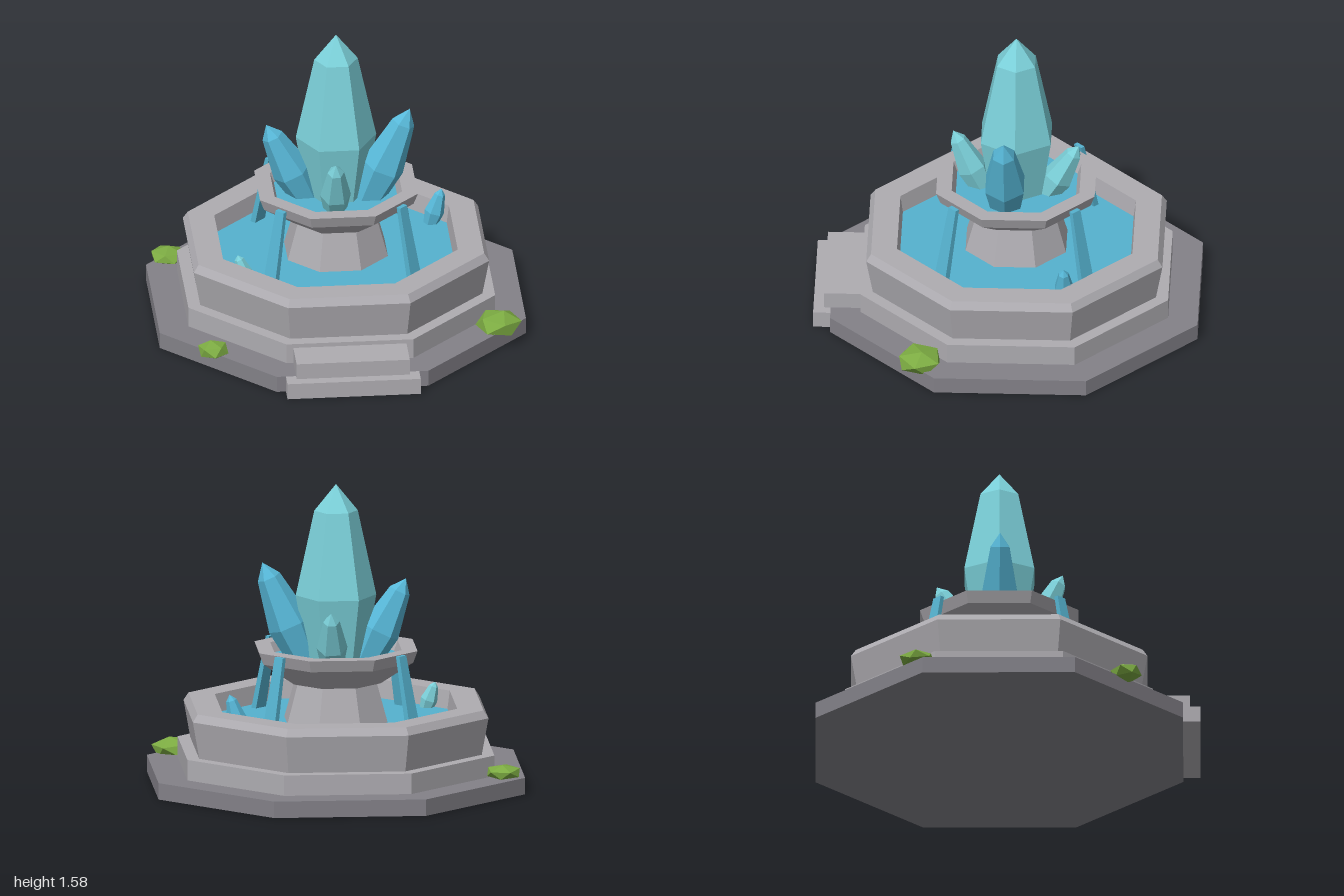
import * as THREE from 'three';

const CZ = -0.045; // centre line of the octagonal tiers

function material(name, color) {
  const m = new THREE.MeshStandardMaterial({ color });
  m.name = name;
  return m;
}

// Give every face its own flat normal
function faceted(geometry) {
  const g = geometry.index ? geometry.toNonIndexed() : geometry;
  g.computeVertexNormals();
  return g;
}

// Regular prism-like solid from [radius, y] pairs
function turned(profile, sides, phi) {
  const points = profile.map(([r, y]) => new THREE.Vector2(r, y));
  return faceted(new THREE.LatheGeometry(points, sides, phi));
}

// Octagonal tier; profile widths are measured to the flat sides
function octagon(profile) {
  const k = 1 / Math.cos(Math.PI / 8);
  return turned(profile.map(([w, y]) => [w * k, y]), 8, Math.PI / 8);
}

export function createModel() {
  const model = new THREE.Group();
  model.name = 'crystalFountain';

  const stone = material('light stone', 0xaeacb1);
  const darkStone = material('dark stone', 0x838188);
  const water = material('water blue', 0x55b2cf);
  const blue = material('blue crystal', 0x57b8d8);
  const aqua = material('aqua crystal', 0x7bd0d9);
  const moss = material('moss green', 0x7cab42);

  function add(name, geometry, mat, x = 0, y = 0, z = 0) {
    const mesh = new THREE.Mesh(geometry, mat);
    mesh.name = name;
    mesh.position.set(x, y, z);
    model.add(mesh);
    return mesh;
  }
  const tier = (name, profile, mat) => add(name, octagon(profile), mat, 0, 0, CZ);

  // Stepped base
  tier('basePlate', [[0, 0], [0.955, 0], [0.955, 0.087], [0, 0.087]], darkStone);
  tier('plinth', [[0.8, 0.08], [0.8, 0.195], [0, 0.195]], stone);

  // Lower basin with flared wall and bevelled rim
  tier('basin', [[0.735, 0.19], [0.77, 0.39], [0.745, 0.43], [0.612, 0.43], [0.595, 0.3]], stone);
  tier('basinWater', [[0.605, 0.335], [0, 0.335]], water);

  // Pedestal and upper bowl
  tier('pedestal', [[0.265, 0.32], [0.205, 0.545]], stone);
  tier('bowl', [[0, 0.54], [0.225, 0.54], [0.39, 0.66], [0.412, 0.722],
    [0.332, 0.722], [0.305, 0.65]], stone);
  tier('bowlWater', [[0.32, 0.67], [0, 0.67]], water);

  // Front steps
  add('lowerStep', new THREE.BoxGeometry(0.695, 0.087, 0.09), stone, 0, 0.0435, 0.955);
  add('upperStep', new THREE.BoxGeometry(0.59, 0.09, 0.22), stone, 0, 0.128, 0.835);

  // Crystals: six-sided shafts with pointed caps, from base point to tip
  function crystal(name, from, to, r, mat) {
    const base = new THREE.Vector3(...from);
    const axis = new THREE.Vector3(...to).sub(base);
    const h = axis.length();
    const shape = [[0, 0], [r * 0.72, 0], [r, h * 0.37], [r * 0.54, h * 0.85], [0, h]];
    const mesh = add(name, turned(shape, 6, Math.PI / 6), mat, ...from);
    mesh.quaternion.setFromUnitVectors(new THREE.Vector3(0, 1, 0), axis.normalize());
  }
  crystal('mainCrystal', [0, 0.65, CZ], [0, 1.58, CZ], 0.21, aqua);
  crystal('leftCrystal', [0.155, 0.64, 0.005], [0.38, 1.16, 0.01], 0.115, blue);
  crystal('rightCrystal', [-0.15, 0.64, -0.045], [-0.365, 1.075, -0.04], 0.105, blue);
  crystal('frontCrystal', [-0.02, 0.64, 0.13], [-0.03, 0.985, 0.285], 0.08, aqua);
  crystal('backCrystal', [0.03, 0.64, -0.2], [0.05, 0.955, -0.37], 0.08, aqua);
  crystal('basinCrystalLeft', [0.515, 0.32, -0.31], [0.575, 0.525, -0.31], 0.052, blue);
  crystal('basinCrystalRight', [-0.49, 0.32, 0.265], [-0.54, 0.47, 0.25], 0.045, aqua);

  // Four falling streams, slanting outwards and widening towards the basin
  for (let i = 0; i < 4; i++) {
    const g = new THREE.BoxGeometry(1, 0.395, 1);
    const p = g.attributes.position;
    for (let v = 0; v < p.count; v++) {
      const top = p.getY(v) > 0;
      p.setX(v, p.getX(v) * (top ? 0.055 : 0.08));
      p.setZ(v, p.getZ(v) * (top ? 0.024 : 0.032) + (top ? 0.445 : 0.53));
    }
    const stream = add('stream', faceted(g), water, 0, 0.528, CZ);
    stream.rotation.y = Math.PI / 4 + i * Math.PI / 2;
  }

  // Flattened moss clumps: position, size, turn
  const clumps = [
    [0.805, 0.107, 0.43, 0.125, 0.064, 0.4],
    [-0.84, 0.125, -0.47, 0.098, 0.042, 1.3],
    [-0.7, 0.113, 0.615, 0.085, 0.047, 2.2],
  ];
  for (const [x, y, z, r, h, turn] of clumps) {
    const g = new THREE.IcosahedronGeometry(1, 0).rotateZ(0.3).rotateY(turn).scale(r, h, r);
    add('mossClump', faceted(g), moss, x, y, z);
  }

  return model;
}
